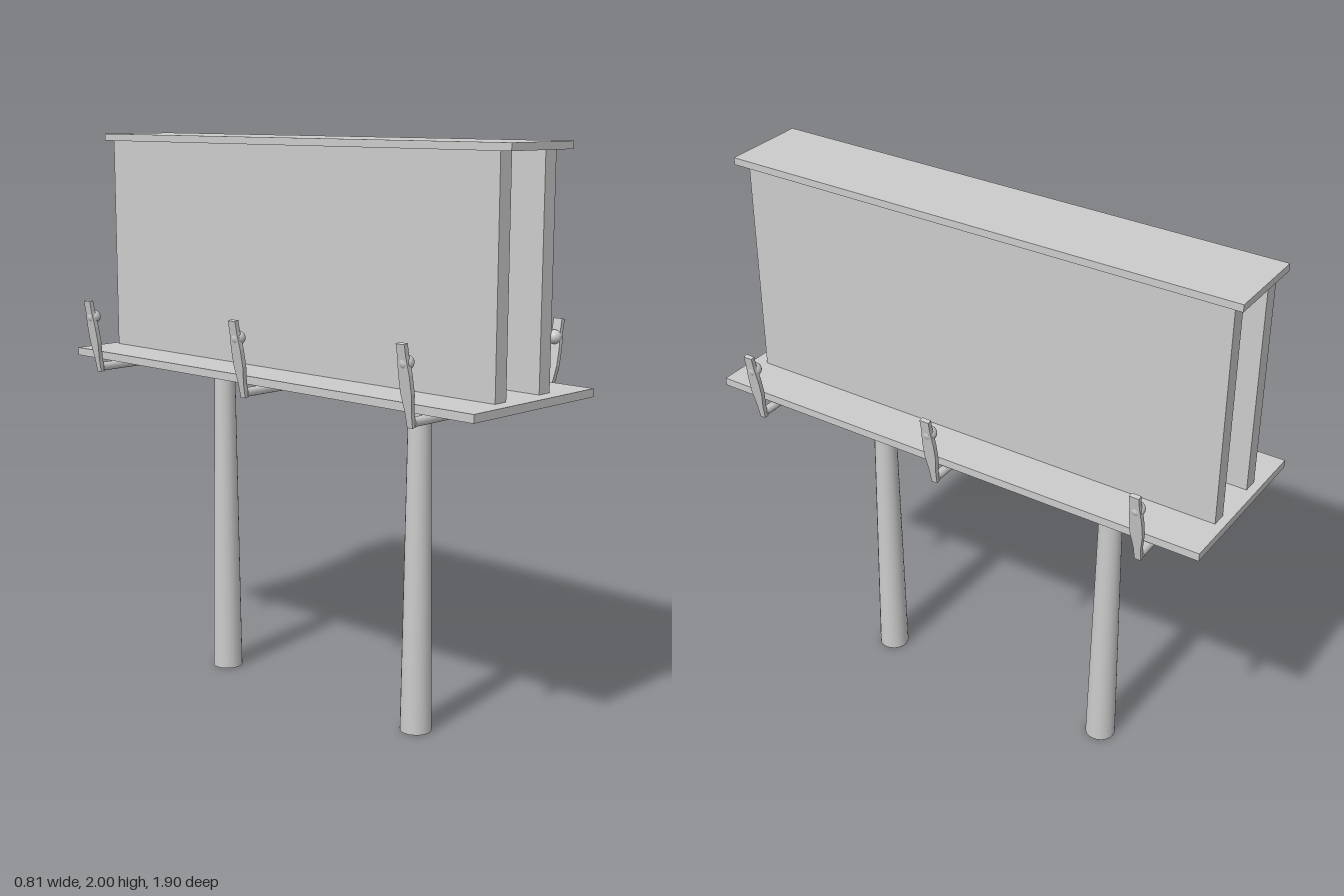
import * as THREE from 'three';

const material = new THREE.MeshStandardMaterial({ color: 0xcccccc });
const flat = new THREE.MeshStandardMaterial({ color: 0xcccccc, flatShading: true });

function add(parent, name, geometry, x, y, z, mat = material) {
  const mesh = new THREE.Mesh(geometry, mat);
  mesh.name = name;
  mesh.position.set(x, y, z);
  parent.add(mesh);
  return mesh;
}

// Flat upright lamp arm: half widths along its height, base at the origin
function armGeometry() {
  const profile = [[0.011, 0], [0.013, 0.05], [0.022, 0.11], [0.022, 0.17], [0.017, 0.23], [0.017, 0.268]];
  const points = [
    ...profile.map(([w, h]) => new THREE.Vector2(w, h)),
    ...profile.slice().reverse().map(([w, h]) => new THREE.Vector2(-w, h)),
  ];
  const geometry = new THREE.ExtrudeGeometry(new THREE.Shape(points), { depth: 0.016, bevelEnabled: false });
  return geometry.translate(0, 0, -0.008).rotateY(Math.PI / 2);
}

// Cross bar under the platform with a leaning lamp arm at each end
function createLampBracket(z) {
  const bracket = new THREE.Group();
  bracket.name = 'lampBracket';
  bracket.position.z = z;

  const bar = new THREE.CylinderGeometry(0.016, 0.016, 0.69, 12).rotateZ(Math.PI / 2);
  add(bracket, 'crossBar', bar, 0, 1.163, 0);

  for (const side of [-1, 1]) {
    const arm = new THREE.Group();
    arm.name = side > 0 ? 'leftLampArm' : 'rightLampArm';
    arm.position.set(side * 0.348, 1.147, 0);
    arm.rotation.z = -side * 0.185;
    add(arm, 'armPlate', armGeometry(), 0, 0, 0, flat);
    // Lamp bulb half sunk into the inner face of the arm
    add(arm, 'lamp', new THREE.SphereGeometry(0.024, 16, 12), -side * 0.012, 0.205, 0);
    bracket.add(arm);
  }
  return bracket;
}

export function createModel() {
  const model = new THREE.Group();
  model.name = 'billboard';

  // Platform and roof
  add(model, 'platform', new THREE.BoxGeometry(0.615, 0.028, 1.9), -0.003, 1.197, 0);
  add(model, 'roof', new THREE.BoxGeometry(0.31, 0.025, 1.9), -0.003, 1.9875, 0);

  // Two display panels, back to back with a gap
  for (const side of [-1, 1]) {
    add(model, side > 0 ? 'leftPanel' : 'rightPanel',
      new THREE.BoxGeometry(0.055, 0.767, 1.815), side * 0.112, 1.593, -0.012);
  }

  // Tapered hollow poles, closed at the top and open at the foot
  for (const z of [-0.475, 0.475]) {
    add(model, 'pole', new THREE.CylinderGeometry(0.037, 0.055, 1.25, 20, 1, true), 0, 0.625, z);
    add(model, 'poleCap', new THREE.CircleGeometry(0.037, 20).rotateX(-Math.PI / 2), 0, 1.25, z);
  }

  // Lamp brackets
  for (const z of [-0.767, 0.002, 0.74]) model.add(createLampBracket(z));

  return model;
}
